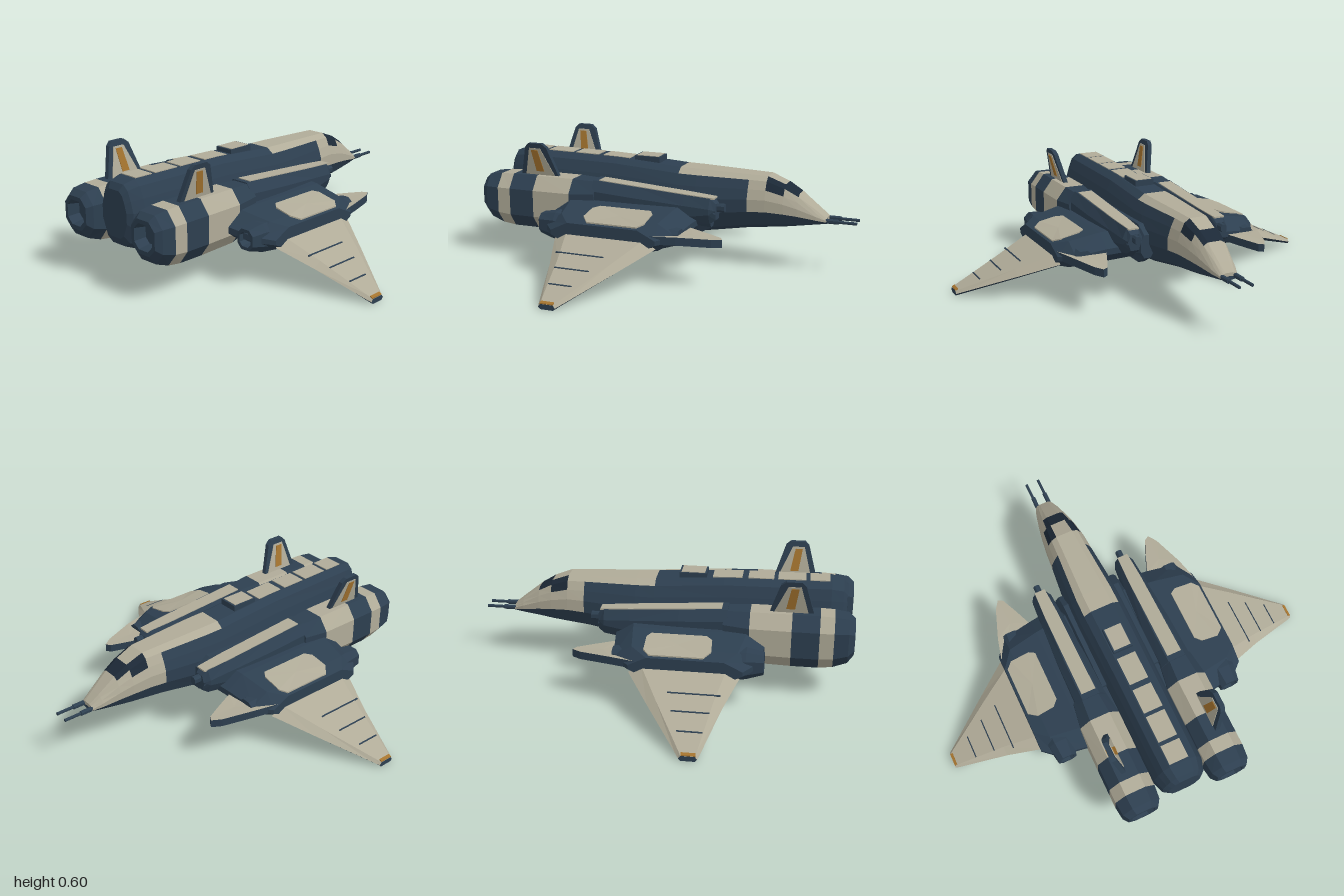
import * as THREE from 'three';

const paint = (name, color) => {
  const m = new THREE.MeshStandardMaterial({ color });
  m.name = name;
  return m;
};

export function createModel() {
  const root = new THREE.Group();
  root.name = 'spacecraft';
  const mats = [paint('navy', 0x2d3f50), paint('cream', 0xb0ab98), paint('amber', 0xa5742f), paint('glass', 0x1c2937)];
  const NAVY = 0, CREAM = 1, AMBER = 2, GLASS = 3;

  // Skin closed rings into a faceted solid; colour(i, j) picks the paint (i = -1 or last ring for the caps).
  function loft(name, rings, colour = NAVY) {
    const pick = typeof colour === 'function' ? colour : () => colour;
    const buckets = mats.map(() => []);
    const n = rings[0].length, last = rings.length - 1;
    let volume = 0;
    const tri = (m, a, b, c) => {
      const [A, B, C] = [a, b, c].map(p => new THREE.Vector3(...p));
      volume += A.dot(B.clone().cross(C));
      buckets[m].push([a, b, c]);
    };
    for (let i = 0; i < last; i++) for (let j = 0; j < n; j++) {
      const k = (j + 1) % n, m = pick(i, j);
      tri(m, rings[i][j], rings[i][k], rings[i + 1][k]);
      tri(m, rings[i][j], rings[i + 1][k], rings[i + 1][j]);
    }
    const mid = r => [0, 1, 2].map(a => r.reduce((s, p) => s + p[a], 0) / n);
    const c0 = mid(rings[0]), c1 = mid(rings[last]);
    for (let j = 0; j < n; j++) {
      const k = (j + 1) % n;
      tri(pick(-1, j), c0, rings[0][k], rings[0][j]);
      tri(pick(last, j), c1, rings[last][j], rings[last][k]);
    }
    const geo = new THREE.BufferGeometry(), pos = [];
    const used = [];
    buckets.forEach((list, m) => {
      if (!list.length) return;
      geo.addGroup(pos.length / 3, list.length * 3, used.length);
      used.push(mats[m]);
      for (const t of list) pos.push(...(volume < 0 ? [t[0], t[2], t[1]] : t).flat());
    });
    geo.setAttribute('position', new THREE.Float32BufferAttribute(pos, 3));
    geo.computeVertexNormals();
    if (used.length === 1) geo.clearGroups();
    const mesh = new THREE.Mesh(geo, used.length === 1 ? used[0] : used);
    mesh.name = name;
    root.add(mesh);
  }
  // The same solid on both sides of the craft
  function pair(name, rings, colour) {
    loft(name + 'Left', rings, colour);
    loft(name + 'Right', rings.map(r => r.map(([x, y, z]) => [x, y, -z])), colour);
  }
  // Chamfered rectangle as [u, v] points
  const cham = (u0, u1, v0, v1, cu, cv) => [
    [u0 + cu, v1], [u1 - cu, v1], [u1, v1 - cv], [u1, v0 + cv],
    [u1 - cu, v0], [u0 + cu, v0], [u0, v0 + cv], [u0, v1 - cv]];
  // Octagonal ring across x
  const oct = (x, y, z, hw, hh, c = 0.5) =>
    cham(z - hw, z + hw, y - hh, y + hh, hw * c, hh * c).map(([u, v]) => [x, v, u]);
  // Plate with an [x, z] outline lying on a height rule
  const plate = (outline, height, t) => [-t, t].map(d => outline.map(([x, z]) => [x, height(x, z) + d, z]));
  const rect = (x0, x1, z0, z1) => [[x0, z0], [x1, z0], [x1, z1], [x0, z1]];

  // Fuselage: x, bottom, top, half width
  const half = [[0.42, 1], [0.68, 0.92], [0.86, 0.76], [1, 0.58], [1, 0.35], [0.72, 0.08], [0.4, 0]];
  const body = [
    [-0.92, 0.24, 0.47, 0.085], [-0.9, 0.2, 0.5, 0.11], [-0.84, 0.175, 0.515, 0.13], [-0.3, 0.165, 0.508, 0.135],
    [0.05, 0.15, 0.485, 0.142], [0.15, 0.155, 0.483, 0.14], [0.42, 0.2, 0.475, 0.115], [0.51, 0.21, 0.472, 0.108],
    [0.6, 0.22, 0.437, 0.096], [0.67, 0.23, 0.395, 0.083], [0.76, 0.243, 0.325, 0.062], [0.81, 0.25, 0.285, 0.045]];
  loft('fuselage', body.map(([x, b, t, w]) => {
    const side = half.map(([u, v]) => [x, b + (t - b) * v, w * u]);
    return [...side, ...side.slice().reverse().map(([a, y, z]) => [a, y, -z])];
  }), (i, j) => {
    const level = j === 13 ? -1 : Math.min(j, 12 - j);
    if (i === 7 && (level === 0 || level === 1)) return GLASS;
    if (i === 8 && level <= 0) return GLASS;
    if (i >= 6 && level <= 3) return CREAM;
    if ((i === 4 || i === 5) && level <= 0) return CREAM;
    return NAVY;
  });

  // Spine panels and raised hatch
  const spine = x => x < -0.3 ? 0.515 - (x + 0.84) * 0.013 : 0.508 - (x + 0.3) * 0.066;
  for (const [a, b] of [[-0.83, -0.73], [-0.71, -0.57], [-0.55, -0.42], [-0.39, -0.24]])
    loft('spinePanel', plate(rect(a, b, -0.05, 0.05), spine, 0.004), CREAM);
  loft('hatch', plate(rect(-0.21, -0.07, -0.052, 0.052), () => 0.505, 0.018));
  loft('hatchPanel', plate(rect(-0.2, -0.08, -0.045, 0.045), () => 0.523, 0.003), CREAM);

  // Nose guns
  pair('noseGun', [0.76, 0.87, 0.87, 0.96].map((x, i) => oct(x, 0.268, 0.034, i < 2 ? 0.011 : 0.007, i < 2 ? 0.011 : 0.007)));

  // Main engines with hollow exhausts: x, y centre, half width, half height
  const engine = [
    [-0.9, 0.31, 0.05, 0.05], [-0.96, 0.31, 0.06, 0.062], [-0.96, 0.31, 0.078, 0.082], [-0.93, 0.303, 0.098, 0.115],
    [-0.86, 0.295, 0.105, 0.132], [-0.79, 0.292, 0.105, 0.138], [-0.655, 0.292, 0.105, 0.138],
    [-0.45, 0.295, 0.105, 0.135], [-0.32, 0.31, 0.085, 0.115]];
  pair('engine', engine.map(([x, y, w, h]) => oct(x, y, 0.242, w, h)),
    i => (i === 4 || i === 6 ? CREAM : NAVY));

  // Cannon pods ahead of the engines
  const podTop = x => 0.43 - (x + 0.32) * 0.07;
  pair('cannonPod', [[-0.34, 0.08], [-0.1, 0.075], [0.15, 0.06], [0.28, 0.052], [0.31, 0.038]].map(([x, w], i) => {
    const top = podTop(x) - (i === 4 ? 0.025 : 0), low = 0.2 + i * 0.02;
    return cham(0.238 - w, 0.238 + w, low, top, w * 0.42, 0.05).map(([z, y]) => [x, y, z]);
  }));
  pair('podPanel', plate([[-0.31, 0.2], [0.15, 0.203], [0.3, 0.21], [0.3, 0.266], [0.15, 0.273], [-0.31, 0.276]], podTop, 0.004), CREAM);
  pair('cannonBarrel', [0.28, 0.35].map(x => oct(x, 0.34, 0.238, 0.016, 0.02)));
  // Fairing between fuselage and pod
  pair('fairing', [[-0.3, 0.1], [0.18, 0.1], [0.25, 0.06]].map(([x, h]) => oct(x, 0.27, 0.14, 0.035, h)));

  // Inner wing: z, rear x, front x, bottom, top
  const inner = [[0.08, -0.5, 0.24, 0.2, 0.35], [0.34, -0.53, 0.21, 0.18, 0.335], [0.5, -0.5, 0.19, 0.17, 0.305], [0.565, -0.44, 0.11, 0.17, 0.28]];
  pair('innerWing', inner.map(([z, x0, x1, y0, y1]) =>
    cham(x0, x1, y0, y1, 0.09, (y1 - y0) * 0.4).map(([x, y]) => [x, y, z])));
  pair('wingPanel', plate([[-0.25, 0.39], [0.02, 0.39], [0.04, 0.42], [0.04, 0.52], [0.01, 0.552], [-0.25, 0.552], [-0.285, 0.51], [-0.28, 0.42]],
    (x, z) => z < 0.5 ? 0.336 - (z - 0.34) * 0.1875 : 0.306 - (z - 0.5) * 0.385, 0.006), CREAM);

  // Small engine under the wing
  pair('wingEngine', [
    [-0.48, 0.24, 0.03, 0.03], [-0.535, 0.24, 0.035, 0.035], [-0.535, 0.24, 0.048, 0.05], [-0.45, 0.235, 0.062, 0.07],
    [-0.25, 0.215, 0.075, 0.075], [0.02, 0.22, 0.07, 0.07], [0.2, 0.24, 0.04, 0.035]].map(([x, y, w, h]) => oct(x, y, 0.46, w, h)));

  // Forward strake, cream on top
  pair('strake', plate([[0.1, 0.33], [0.21, 0.345], [0.31, 0.385], [0.39, 0.42], [0.405, 0.445], [0.36, 0.475], [0.2, 0.53], [0.06, 0.565]],
    x => 0.236 - Math.max(0, x - 0.2) * 0.06, 0.02), i => (i === 1 ? CREAM : NAVY));

  // Drooping outer wing: z, rear x, front x
  const wingTop = z => 0.225 - (z - 0.56) * 0.455;
  const wingLow = z => 0.16 - (z - 0.56) * 0.364;
  pair('outerWing', [[0.55, -0.425, 0.11], [0.73, -0.36, -0.01], [0.97, -0.29, -0.175], [1, -0.28, -0.195]].map(([z, a, b]) => {
    const t = wingTop(z), l = wingLow(z), c = (b - a) * 0.12, m = l + (t - l) * 0.45;
    return [[a, m, z], [a + c, t, z], [b - c, t, z], [b, m, z], [b - c, l, z], [a + c, l, z]];
  }), (i, j) => (i >= 0 && i < 3 && j < 3 ? CREAM : NAVY));
  for (const [z, a, b] of [[0.685, -0.35, -0.1], [0.78, -0.31, -0.13], [0.88, -0.29, -0.17]])
    pair('wingLine', plate(rect(a, b, z - 0.003, z + 0.003), (x, w) => wingTop(w), 0.002));
  pair('wingTipLight', plate(rect(-0.272, -0.205, 0.985, 0.999), (x, w) => wingTop(w), 0.004), AMBER);

  // Canted tail fins with layered inlays
  const fin = (name, outline, t, colour) => pair(name,
    [-t, t].map(d => outline.map(([x, y]) => [x, y, 0.255 + (y - 0.43) * 0.22 + d])), colour);
  fin('finFrame', [[-0.765, 0.4], [-0.715, 0.58], [-0.695, 0.6], [-0.62, 0.6], [-0.595, 0.58], [-0.535, 0.4]], 0.012, NAVY);
  fin('finPanel', [[-0.73, 0.43], [-0.692, 0.575], [-0.63, 0.575], [-0.565, 0.43]], 0.015, CREAM);
  fin('finStripe', [[-0.665, 0.45], [-0.682, 0.565], [-0.645, 0.565], [-0.622, 0.45]], 0.018, AMBER);

  return root;
}
